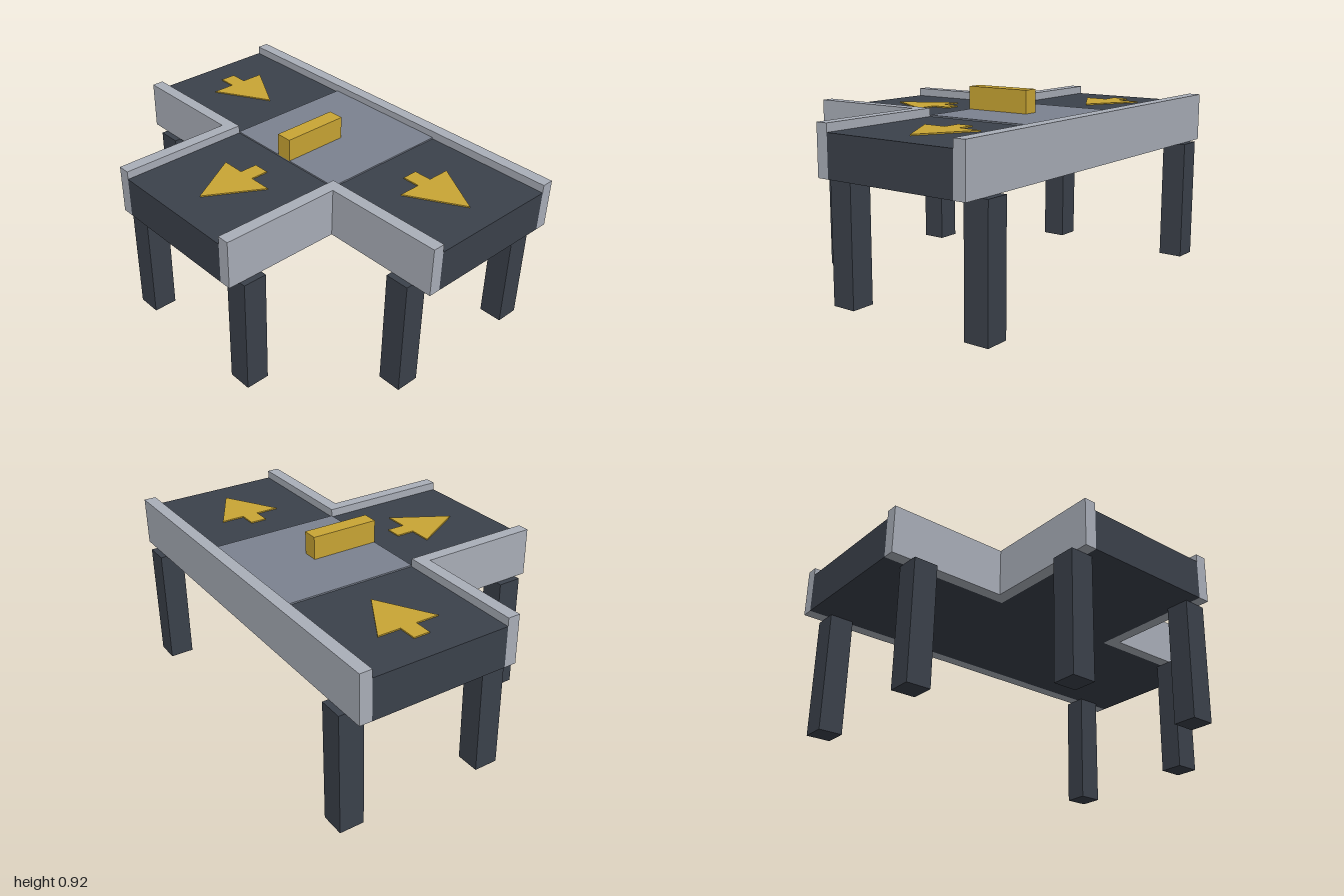
import * as THREE from 'three';

const mat = (name, color) => Object.assign(new THREE.MeshStandardMaterial({ color }), { name });

export function createModel() {
  const dark = mat('charcoal', 0x3b414b);
  const steel = mat('light steel', 0xaaafb9);
  const slate = mat('slate grey', 0x7b8290);
  const gold = mat('signal yellow', 0xc9a534);
  const model = new THREE.Group();
  model.name = 'conveyorJunction';

  // Box given by its minimum and maximum on each axis
  const box = (name, material, [x0, x1], [y0, y1], [z0, z1]) => {
    const mesh = new THREE.Mesh(new THREE.BoxGeometry(x1 - x0, y1 - y0, z1 - z0), material);
    mesh.position.set((x0 + x1) / 2, (y0 + y1) / 2, (z0 + z1) / 2);
    mesh.name = name;
    model.add(mesh);
  };

  // Belts: a long main run and a side branch to the right
  const bed = [0.6, 0.8];
  box('mainBelt', dark, [-0.055, 0.623], bed, [-1, 1]);
  box('branchBelt', dark, [-0.715, -0.055], bed, [-0.34, 0.34]);

  // Transfer plate and diverter at the crossing
  box('transferPlate', slate, [-0.055, 0.623], [0.8, 0.807], [-0.34, 0.34]);
  box('diverter', gold, [-0.057, 0.283], [0.807, 0.92], [-0.04, 0.04]);

  // Side rails, mirrored front to back around the branch
  const rail = [0.6, 0.84];
  box('longRail', steel, [0.623, 0.683], rail, [-1, 1]);
  for (const s of [-1, 1]) {
    const span = (a, b) => (s > 0 ? [a, b] : [-b, -a]);
    box('mainRail', steel, [-0.115, -0.055], rail, span(0.34, 1));
    box('branchRail', steel, [-0.715, -0.115], rail, span(0.34, 0.4));
  }

  // Legs
  for (const [x, z] of [[0.653, 0.84], [-0.087, 0.84], [-0.597, 0.37]]) {
    for (const s of [-1, 1]) {
      box('leg', dark, [x - 0.06, x + 0.06], [0, 0.6], [s * z - 0.06, s * z + 0.06]);
    }
  }

  // Direction arrows, thin plates whose tip points to +z before turning
  const shape = new THREE.Shape([
    [0, -0.18], [0.155, 0.09], [0.04, 0.09], [0.04, 0.18],
    [-0.04, 0.18], [-0.04, 0.09], [-0.155, 0.09],
  ].map(([x, y]) => new THREE.Vector2(x, y)));
  const arrow = new THREE.ExtrudeGeometry(shape, { depth: 0.006, bevelEnabled: false });
  arrow.rotateX(-Math.PI / 2);
  for (const [x, z, turn] of [[0.283, -0.68, 0], [0.283, 0.68, 0], [-0.377, 0, -Math.PI / 2]]) {
    const mesh = new THREE.Mesh(arrow, gold);
    mesh.position.set(x, 0.8, z);
    mesh.rotation.y = turn;
    mesh.name = 'directionArrow';
    model.add(mesh);
  }
  return model;
}
